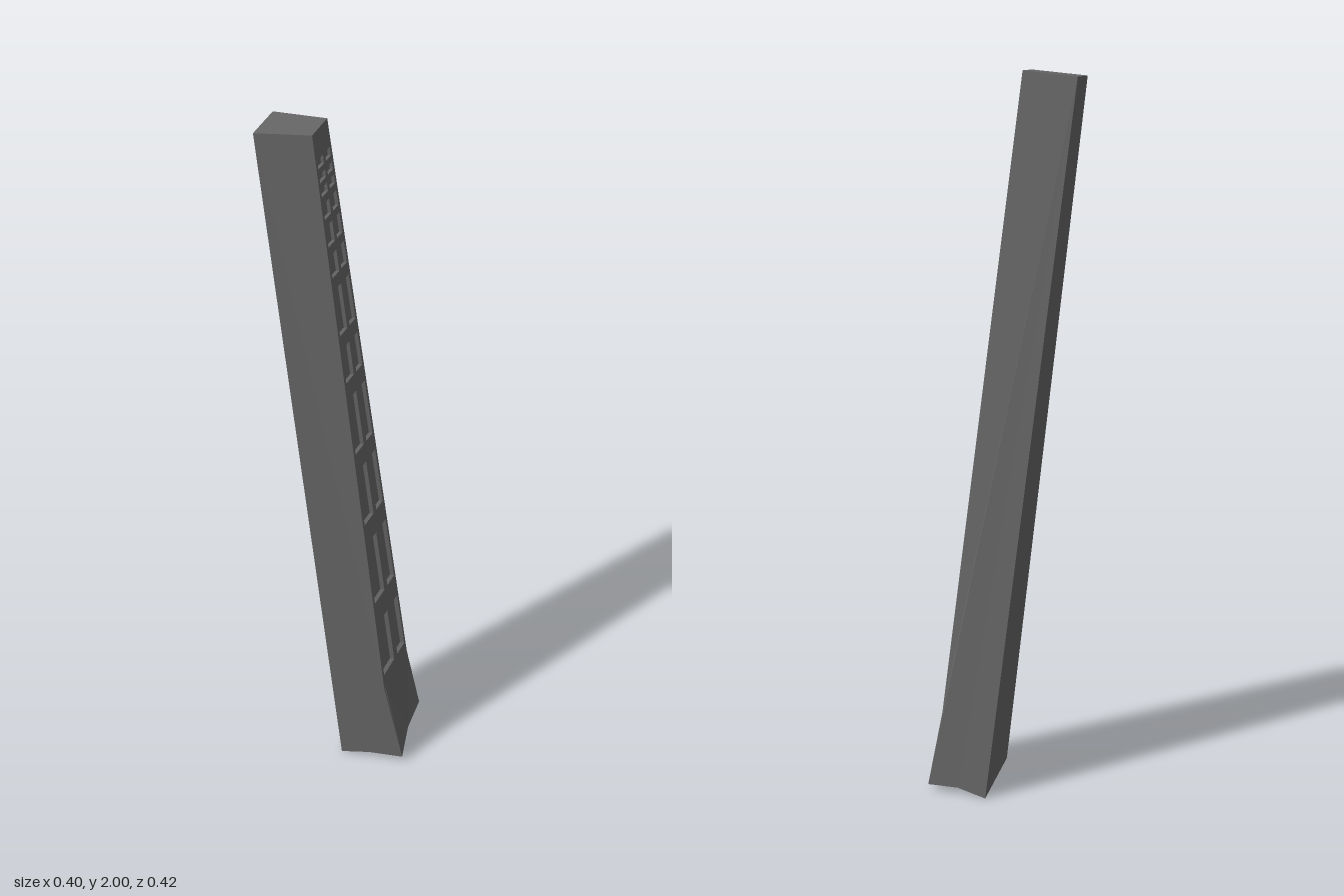
import * as THREE from 'three';

const V = (x, y, z) => new THREE.Vector3(x, y, z);
const mix = (a, b, t) => a.clone().lerp(b, t);

// Tower corners: R/L = right/left side, F/B = front/back
const bottom = {
  RF: V(-0.016, 0.02, 0.21), LF: V(0.2, 0.02, 0.083),
  RB: V(-0.112, 0.003, 0.05), LB: V(0.137, 0, -0.075),
  FM: V(0.09, 0.022, 0.137), LM: V(0.165, 0.02, 0.003), RM: V(-0.07, 0.02, 0.125),
};
const knee = { RF: V(-0.05, 0.29, 0.164), LF: V(0.165, 0.235, 0.058) };
const top = {
  RF: V(-0.134, 2, -0.016), LF: V(-0.036, 2, -0.062),
  RB: V(-0.2, 1.985, -0.153), LB: V(-0.075, 1.985, -0.214),
};

// Window rows: sill and head heights, shrinking towards the top
const rows = [
  [0.33, 0.515], [0.59, 0.795], [0.86, 1.035], [1.09, 1.26], [1.31, 1.41], [1.45, 1.58],
  [1.615, 1.675], [1.7, 1.755], [1.775, 1.815], [1.835, 1.857], [1.872, 1.892], [1.908, 1.93],
];

// Point on the front wall: column line c, fraction t up from the knee
const lowColumns = [0, 0.06, 0.5, 0.64, 0.95, 1];
const highColumns = [0, 0.1, 0.46, 0.58, 0.9, 1];
function frontPoint(c, t) {
  const u = THREE.MathUtils.lerp(lowColumns[c], highColumns[c], t);
  return mix(mix(knee.RF, top.RF, t), mix(knee.LF, top.LF, t), u);
}

// Flat-shaded mesh from convex fans of points, counter-clockwise from outside
function facets(name, polygons, material) {
  const points = [];
  for (const p of polygons) {
    for (let i = 1; i < p.length - 1; i++) points.push(p[0], p[i], p[i + 1]);
  }
  const geometry = new THREE.BufferGeometry().setFromPoints(points);
  geometry.computeVertexNormals();
  const mesh = new THREE.Mesh(geometry, material);
  mesh.name = name;
  return mesh;
}

export function createModel() {
  const group = new THREE.Group();
  group.name = 'leaningTower';
  const material = new THREE.MeshStandardMaterial({ color: 0x666666, flatShading: true });
  const add = (name, polygons) => group.add(facets(name, polygons, material));
  const b = bottom;

  // Plain outer walls, roof and base
  add('leftWall', [[top.LB, top.LF, knee.LF, b.LF, b.LM, b.LB]]);
  add('rightWall', [[top.RB, b.RB, b.RM, b.RF, knee.RF, top.RF]]);
  add('backWall', [[b.LB, b.RB, top.RB, top.LB]]);
  add('roof', [[top.RF, top.LF, top.LB, top.RB]]);
  add('base', [[b.FM, b.RF, b.RM, b.RB, b.LB, b.LM, b.LF]]);

  // Flared foot of the front wall
  add('frontFoot', [[b.FM, b.LF, knee.LF, knee.RF, b.RF]]);

  // Front wall grid with two columns of recessed windows
  const toT = (y) => (y - knee.RF.y) / (top.RF.y - knee.RF.y);
  const levels = [0, ...rows.flat().map(toT), 1];
  const wall = [], reveals = [], panes = [];
  for (let r = 0; r < levels.length - 1; r++) {
    const t0 = levels[r], t1 = levels[r + 1];
    for (let c = 0; c < 5; c++) {
      const rim = [frontPoint(c, t0), frontPoint(c + 1, t0), frontPoint(c + 1, t1), frontPoint(c, t1)];
      if (r % 2 === 0 || c % 2 === 0) {
        wall.push(rim);
        continue;
      }
      const inward = V(-0.45, 0, -0.89).multiplyScalar(0.013 - 0.005 * t0);
      const pane = rim.map((p) => p.clone().add(inward));
      panes.push(pane);
      rim.forEach((p, i) => {
        const j = (i + 1) % 4;
        reveals.push([p, rim[j], pane[j], pane[i]]);
      });
    }
  }
  add('frontWall', wall);
  add('windowReveals', reveals);
  add('windowPanes', panes);
  return group;
}
